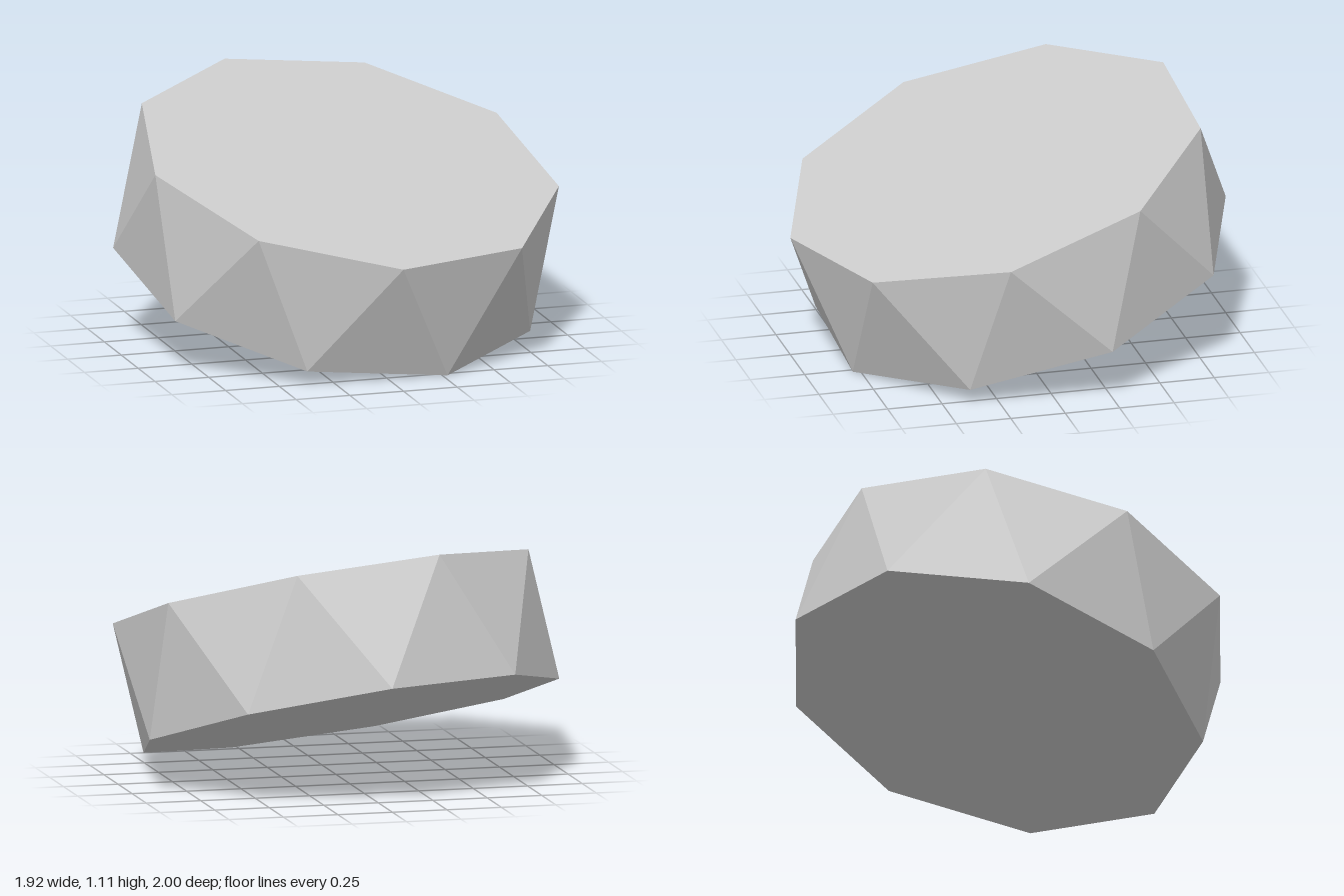
import * as THREE from 'three';

const SIDES = 9;
const RADIUS = 0.959; // circumradius of each nine-sided cap
const HALF = 0.2826; // half the distance between the caps
const CENTRE_Y = 0.5567;

// Ring of cap corners in the local frame, starting at +z and turning toward +x
function ring(y, offset) {
  return Array.from({ length: SIDES }, (_, k) => {
    const a = ((k + offset) / SIDES) * Math.PI * 2;
    return new THREE.Vector3(RADIUS * Math.sin(a), y, RADIUS * Math.cos(a));
  });
}

// Antiprism: two caps half a step out of phase, joined by a band of triangles
function antiprismGeometry() {
  const top = ring(HALF, 0);
  const bottom = ring(-HALF, 0.5);
  const points = [];
  for (let k = 0; k < SIDES; k++) {
    const n = (k + 1) % SIDES;
    points.push(bottom[k], top[n], top[k]);
    points.push(bottom[k], bottom[n], top[n]);
    if (k > 0 && k < SIDES - 1) {
      points.push(top[0], top[k], top[n]);
      points.push(bottom[0], bottom[n], bottom[k]);
    }
  }
  const geometry = new THREE.BufferGeometry().setFromPoints(points);
  geometry.computeVertexNormals();
  return geometry;
}

export function createModel() {
  const group = new THREE.Group();
  group.name = 'tiltedAntiprism';

  const material = new THREE.MeshStandardMaterial({ color: 0xcccccc, flatShading: true });
  const solid = new THREE.Mesh(antiprismGeometry(), material);
  solid.name = 'antiprism';

  // Tilt the axis so the first top corner points straight forward
  const axis = new THREE.Vector3(0.0981, 0.9542, 0.2826).normalize();
  const forward = new THREE.Vector3(0, 0, 1).addScaledVector(axis, -axis.z).normalize();
  const side = new THREE.Vector3().crossVectors(axis, forward);
  solid.quaternion.setFromRotationMatrix(new THREE.Matrix4().makeBasis(side, axis, forward));
  solid.position.y = CENTRE_Y;

  group.add(solid);
  return group;
}
